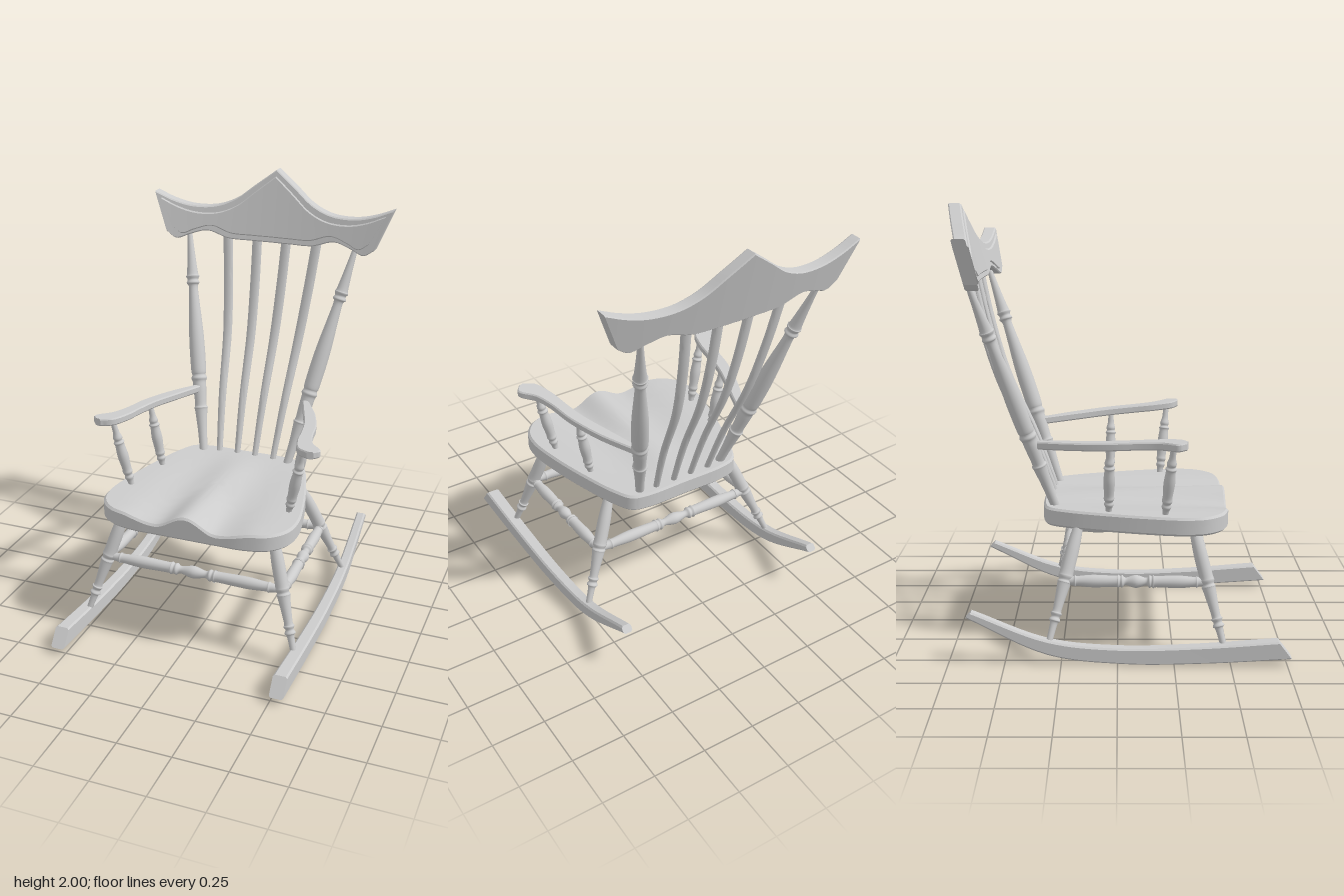
import * as THREE from 'three';
import { toCreasedNormals } from 'three/addons/utils/BufferGeometryUtils.js';

const material = new THREE.MeshStandardMaterial({ color: 0xcccccc });
const V = (x, y, z) => new THREE.Vector3(x, y, z);
const spline = (pts) => new THREE.CatmullRomCurve3(pts.map((p) => V(...p)));

function addMesh(parent, name, geometry) {
  const mesh = new THREE.Mesh(geometry, material);
  mesh.name = name;
  parent.add(mesh);
  return mesh;
}

// Skin a list of closed cross-sections and cap both ends
function loft(sections, crease = 0.6) {
  const n = sections[0].length, m = sections.length, index = [];
  const pts = sections.flat();
  for (let i = 0; i < m - 1; i++) {
    for (let j = 0; j < n; j++) {
      const a = i * n + j, b = i * n + (j + 1) % n;
      index.push(a, b, b + n, a, b + n, a + n);
    }
  }
  [0, m - 1].forEach((s) => {
    const c = pts.length;
    pts.push(sections[s].reduce((sum, p) => sum.add(p), V(0, 0, 0)).divideScalar(n));
    for (let j = 0; j < n; j++) {
      const a = s * n + j, b = s * n + (j + 1) % n;
      if (s === 0) index.push(c, b, a);
      else index.push(c, a, b);
    }
  });
  // Signed volume tells whether the faces point outward
  let volume = 0;
  const cross = V(0, 0, 0);
  for (let i = 0; i < index.length; i += 3) {
    volume += pts[index[i]].dot(cross.crossVectors(pts[index[i + 1]], pts[index[i + 2]]));
  }
  if (volume < 0) index.reverse();
  const geo = new THREE.BufferGeometry().setFromPoints(pts);
  geo.setIndex(index);
  return toCreasedNormals(geo, crease);
}

// Chamfered rectangle spanning a to b, thickened both ways by off
function section(a, b, off, chamfer) {
  const d = b.clone().sub(a).setLength(chamfer);
  const slim = off.clone().setLength(off.length() - chamfer);
  const at = (p, o, so, sd) => p.clone().addScaledVector(o, so).addScaledVector(d, sd);
  return [at(a, off, 1, 1), at(b, off, 1, -1), at(b, slim, 1, 0), at(b, slim, -1, 0),
    at(b, off, -1, -1), at(a, off, -1, 1), at(a, slim, -1, 0), at(a, slim, 1, 0)];
}

// Lathe-turned spindle from a to b; profile rows are [fraction, radius]
function turned(parent, name, a, b, profile) {
  const dir = b.clone().sub(a), len = dir.length();
  const curve = new THREE.SplineCurve(profile.map(([t, r]) => new THREE.Vector2(r, t * len)));
  const mesh = addMesh(parent, name, new THREE.LatheGeometry(curve.getPoints(profile.length * 5), 18));
  mesh.position.copy(a);
  mesh.quaternion.setFromUnitVectors(V(0, 1, 0), dir.normalize());
}

const mirrored = (rows) => [...rows, ...rows.slice(0, -1).reverse().map(([t, r]) => [1 - t, r])];

const LEG = [[0, 0.014], [0.16, 0.017], [0.19, 0.026], [0.22, 0.019], [0.25, 0.026], [0.28, 0.02],
  [0.48, 0.029], [0.51, 0.032], [0.53, 0.027], [0.56, 0.033], [0.6, 0.031], [0.8, 0.03], [1, 0.021]];
const STRETCHER = mirrored([[0, 0.016], [0.06, 0.021], [0.075, 0.026], [0.09, 0.022], [0.2, 0.028],
  [0.36, 0.025], [0.375, 0.03], [0.39, 0.024], [0.405, 0.028], [0.43, 0.017], [0.5, 0.029]]);
const POST = [[0, 0.02], [0.1, 0.023], [0.19, 0.031], [0.205, 0.035], [0.22, 0.029], [0.29, 0.033],
  [0.32, 0.034], [0.335, 0.04], [0.35, 0.034], [0.37, 0.038], [0.46, 0.039], [0.55, 0.036], [0.68, 0.026],
  [0.74, 0.023], [0.755, 0.033], [0.77, 0.027], [0.785, 0.034], [0.8, 0.028], [0.9, 0.018], [1, 0.011]];
const ARM_SPINDLE = [[0, 0.013], [0.12, 0.015], [0.18, 0.022], [0.22, 0.018], [0.26, 0.024], [0.32, 0.022],
  [0.5, 0.026], [0.66, 0.022], [0.7, 0.026], [0.73, 0.019], [0.77, 0.022], [0.85, 0.015], [1, 0.013]];

// Seat top: a front ridge between two hollows, fading toward the back
function seatHeight(x, z) {
  const a = Math.abs(x), fade = (z + 0.34) / 0.845;
  let bump = 0;
  if (a < 0.15) bump = 0.03 * Math.cos(Math.PI * a / 0.15);
  else if (a < 0.33) bump = -0.015 * (1 + Math.cos(Math.PI * (a - 0.15) / 0.18));
  return 0.647 + bump * fade;
}

function seatGeometry() {
  const half = [[0, 0.505], [0.15, 0.505], [0.28, 0.502], [0.385, 0.472], [0.45, 0.4], [0.468, 0.3],
    [0.44, 0.12], [0.39, -0.07], [0.335, -0.23], [0.285, -0.315], [0.21, -0.338], [0, -0.34]];
  const all = [...half, ...half.slice(1, -1).reverse().map(([x, z]) => [-x, z])];
  const outline = new THREE.CatmullRomCurve3(all.map(([x, z]) => V(x, 0, z)), true)
    .getPoints(176).slice(0, -1);
  const ring = (s, height) => outline.map((p) => {
    const x = p.x * s, z = 0.08 + (p.z - 0.08) * s;
    return V(x, height(x, z), z);
  });
  const top = (drop) => (x, z) => seatHeight(x, z) - drop;
  return loft([ring(0.98, () => 0.563), ring(1, () => 0.573), ring(1, top(0.01)),
    ...[0.98, 0.85, 0.7, 0.55, 0.4, 0.25, 0.1, 0.02].map((s) => ring(s, top(0)))]);
}

// Crest board, bowed in plan and leaning back; inset shrinks its outline
function crestGeometry(inset, depth, forward) {
  const top = spline([[0, 2, 0], [0.1, 1.925, 0], [0.2, 1.85, 0], [0.3, 1.812, 0],
    [0.42, 1.808, 0], [0.52, 1.83, 0], [0.615, 1.868, 0]]);
  const bottom = spline([[0, 1.657, 0], [0.1, 1.657, 0], [0.22, 1.66, 0], [0.33, 1.69, 0],
    [0.42, 1.667, 0], [0.485, 1.645, 0], [0.537, 1.675, 0]]);
  const sections = [];
  const N = 32;
  for (let i = -N; i <= N; i++) {
    const place = (curve, dy) => {
      const p = curve.getPoint(Math.abs(i) / N);
      p.x *= Math.sign(i) * (1 - inset * 1.9);
      p.y += dy;
      p.z = -0.595 - 0.27 * (p.y - 1.65) - 0.055 * (1 - (p.x / 0.6) ** 2) + forward;
      return p;
    };
    sections.push(section(place(top, -inset), place(bottom, inset * 0.85), V(0, 0, depth / 2), 0.006));
  }
  return loft(sections, 0.5);
}

// Curved, slightly flattened back slat
function slatGeometry(xBottom, xTop) {
  const path = spline([[0, 0.61, -0.29], [0, 0.9, -0.395], [0, 1.2, -0.53], [0, 1.45, -0.605], [0, 1.7, -0.66]]);
  const sections = [];
  for (let i = 0; i <= 28; i++) {
    const t = i / 28, c = path.getPoint(t), w = 0.014 + 0.011 * Math.sin(Math.min(1, t * 1.3) * Math.PI / 2);
    c.x = THREE.MathUtils.lerp(xBottom, xTop, t);
    sections.push(Array.from({ length: 14 }, (_, j) => {
      const a = j / 14 * Math.PI * 2;
      return V(c.x + w * Math.cos(a), c.y, c.z + 0.014 * Math.sin(a));
    }));
  }
  return loft(sections, 0.9);
}

function rockerGeometry(side) {
  const top = spline([[0, 0.11, 0.71], [0, 0.083, 0.35], [0, 0.075, 0], [0, 0.11, -0.31], [0, 0.24, -0.645]]);
  const bottom = spline([[0, 0.03, 0.77], [0, 0.007, 0.4], [0, 0.002, 0.03], [0, 0.043, -0.31], [0, 0.212, -0.67]]);
  const sections = [];
  for (let i = 0; i <= 32; i++) {
    const t = i / 32, a = top.getPoint(t), b = bottom.getPoint(t);
    a.x = b.x = side * (0.532 - 0.01 * t);
    sections.push(section(a, b, V(0.033 - 0.01 * t, 0, 0), 0.008));
  }
  return loft(sections, 0.5);
}

function armGeometry(side) {
  const inner = spline([[0.27, 0, -0.36], [0.325, 0, -0.2], [0.375, 0, -0.05], [0.4, 0, 0.08],
    [0.415, 0, 0.18], [0.45, 0, 0.275], [0.5, 0, 0.305]]);
  const outer = spline([[0.305, 0, -0.36], [0.385, 0, -0.2], [0.442, 0, -0.03], [0.465, 0, 0.1],
    [0.495, 0, 0.19], [0.551, 0, 0.262], [0.53, 0, 0.298]]);
  const sections = [];
  for (let i = 0; i <= 36; i++) {
    const [a, b] = [inner, outer].map((curve) => {
      const p = curve.getPoint(i / 36);
      return V(side * p.x, 0.9625 + 0.07 * p.z, p.z);
    });
    sections.push(section(a, b, V(0, 0.018, 0), 0.006));
  }
  return loft(sections, 0.5);
}

export function createModel() {
  const chair = new THREE.Group();
  chair.name = 'rockingChair';

  addMesh(chair, 'seat', seatGeometry());
  addMesh(chair, 'crestRail', crestGeometry(0, 0.06, 0));
  addMesh(chair, 'crestPanel', crestGeometry(0.03, 0.02, 0.027));

  for (const side of [1, -1]) {
    const label = side > 0 ? 'left' : 'right';
    const P = (x, y, z) => V(side * x, y, z);
    addMesh(chair, label + 'Rocker', rockerGeometry(side));
    addMesh(chair, label + 'Arm', armGeometry(side));
    turned(chair, label + 'BackPost', P(0.22, 0.62, -0.28), P(0.438, 1.69, -0.645), POST);

    // Legs and the stretcher joining them
    turned(chair, label + 'FrontLeg', P(0.52, 0.06, 0.475), P(0.365, 0.58, 0.34), LEG);
    turned(chair, label + 'BackLeg', P(0.525, 0.09, -0.305), P(0.325, 0.58, -0.175), LEG);
    turned(chair, label + 'SideStretcher', P(0.437, 0.345, 0.4), P(0.421, 0.345, -0.237), STRETCHER);

    // Arm supports
    turned(chair, label + 'FrontArmSpindle', P(0.39, 0.62, 0.21), P(0.465, 0.97, 0.245), ARM_SPINDLE);
    turned(chair, label + 'BackArmSpindle', P(0.34, 0.62, -0.04), P(0.4, 0.955, -0.035), ARM_SPINDLE);

    // Back slats
    addMesh(chair, label + 'OuterSlat', slatGeometry(side * 0.14, side * 0.235));
    addMesh(chair, label + 'InnerSlat', slatGeometry(side * 0.046, side * 0.077));
  }

  // Cross stretchers
  turned(chair, 'frontStretcher', V(-0.435, 0.345, 0.4), V(0.435, 0.345, 0.4), STRETCHER);
  turned(chair, 'backStretcher', V(-0.42, 0.345, -0.237), V(0.42, 0.345, -0.237), STRETCHER);
  return chair;
}
